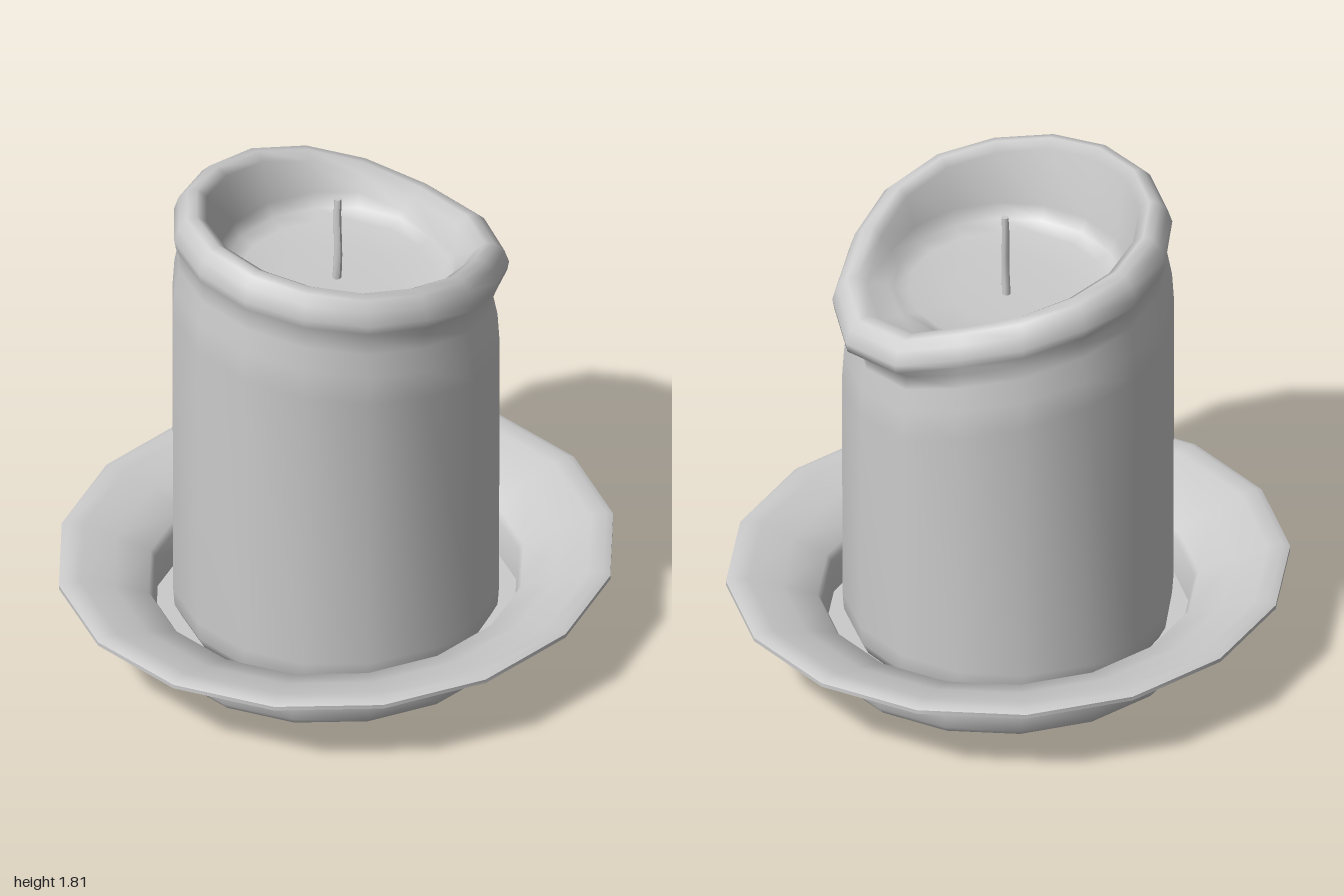
import * as THREE from 'three';
import { mergeVertices, toCreasedNormals } from 'three/addons/utils/BufferGeometryUtils.js';

const SIDES = 16;
const material = new THREE.MeshStandardMaterial({ color: 0xcccccc, side: THREE.DoubleSide });

function lathe(profile) {
  return new THREE.LatheGeometry(profile.map(([r, y]) => new THREE.Vector2(r, y)), SIDES);
}

function part(name, geometry) {
  const mesh = new THREE.Mesh(geometry, material);
  mesh.name = name;
  return mesh;
}

// Weld the seam so that the normals run smoothly all round
function smooth(geometry) {
  geometry.deleteAttribute('uv');
  geometry.deleteAttribute('normal');
  const welded = mergeVertices(geometry, 1e-4);
  welded.computeVertexNormals();
  return welded;
}

// Saucer with a sunken well and a wide flaring rim, slightly oval
function createDish() {
  const geometry = lathe([
    [0, 0], [0.6, 0.006], [0.67, 0.015], [0.695, 0.045], [0.7, 0.1], [0.7, 0.205],
    [0.8, 0.245], [0.91, 0.28], [0.98, 0.28], [1, 0.29], [1, 0.305], [0.975, 0.315],
    [0.92, 0.308], [0.8, 0.27], [0.675, 0.225], [0.66, 0.2], [0.65, 0.075], [0, 0.07],
  ]);
  geometry.scale(1, 0.94, 1).scale(1, 1 / 0.94, 0.94);
  return part('dish', toCreasedNormals(smooth(geometry), 0.75));
}

// Candle body, slanted lip with a spout at +x, and the melted bowl
function createCandle() {
  // Height of the lip from the spout (+x) round to the back (-x)
  const lipTop = [1.52, 1.545, 1.62, 1.675, 1.72, 1.75, 1.78, 1.8, 1.807];
  const spout = [1.11, 1.07, 1, 1, 1, 1, 1, 1, 1];
  const lower = [[0, 0.075], [0.5, 0.075], [0.55, 0.1], [0.575, 0.15], [0.58, 0.22]];
  // Radius and height relative to the lip top
  const lip = [
    [0.582, -0.42], [0.575, -0.31], [0.558, -0.22], [0.556, -0.165], [0.57, -0.125],
    [0.576, -0.09], [0.56, -0.04], [0.53, -0.008], [0.495, 0], [0.46, -0.025],
  ];
  const bowl = [[0.425, 1.54], [0.4, 1.49], [0.35, 1.468], [0.2, 1.46], [0, 1.458]];
  const profile = [...lower, ...lip, ...bowl];
  const geometry = lathe(profile);
  const pos = geometry.attributes.position;

  for (let i = 0; i <= SIDES; i++) {
    const turn = (i - SIDES / 4 + SIDES) % SIDES;
    const d = Math.min(turn, SIDES - turn);
    for (let j = lower.length; j < profile.length; j++) {
      const v = i * profile.length + j;
      const k = j - lower.length;
      if (k < lip.length) {
        pos.setY(v, lipTop[d] + lip[k][1]);
        if (k >= 4) {
          pos.setX(v, pos.getX(v) * spout[d]);
          pos.setZ(v, pos.getZ(v) * spout[d]);
        }
      } else {
        // Keep the bowl wall below the lip at the spout
        pos.setY(v, Math.min(pos.getY(v), lipTop[d] - 0.04));
      }
    }
  }
  return part('candle', smooth(geometry));
}

// Thin, slightly crooked wick
function createWick() {
  const geometry = new THREE.CylinderGeometry(0.013, 0.016, 0.34, 8, 6);
  geometry.translate(0, 1.615, 0);
  const pos = geometry.attributes.position;
  for (let v = 0; v < pos.count; v++) {
    const t = (pos.getY(v) - 1.445) / 0.34;
    pos.setX(v, pos.getX(v) + 0.015 + 0.01 * t * t);
    pos.setZ(v, pos.getZ(v) - 0.018 + 0.007 * Math.sin(t * 5));
  }
  geometry.computeVertexNormals();
  return part('wick', geometry);
}

export function createModel() {
  const model = new THREE.Group();
  model.name = 'candleOnDish';
  model.add(createDish(), createCandle(), createWick());
  return model;
}
